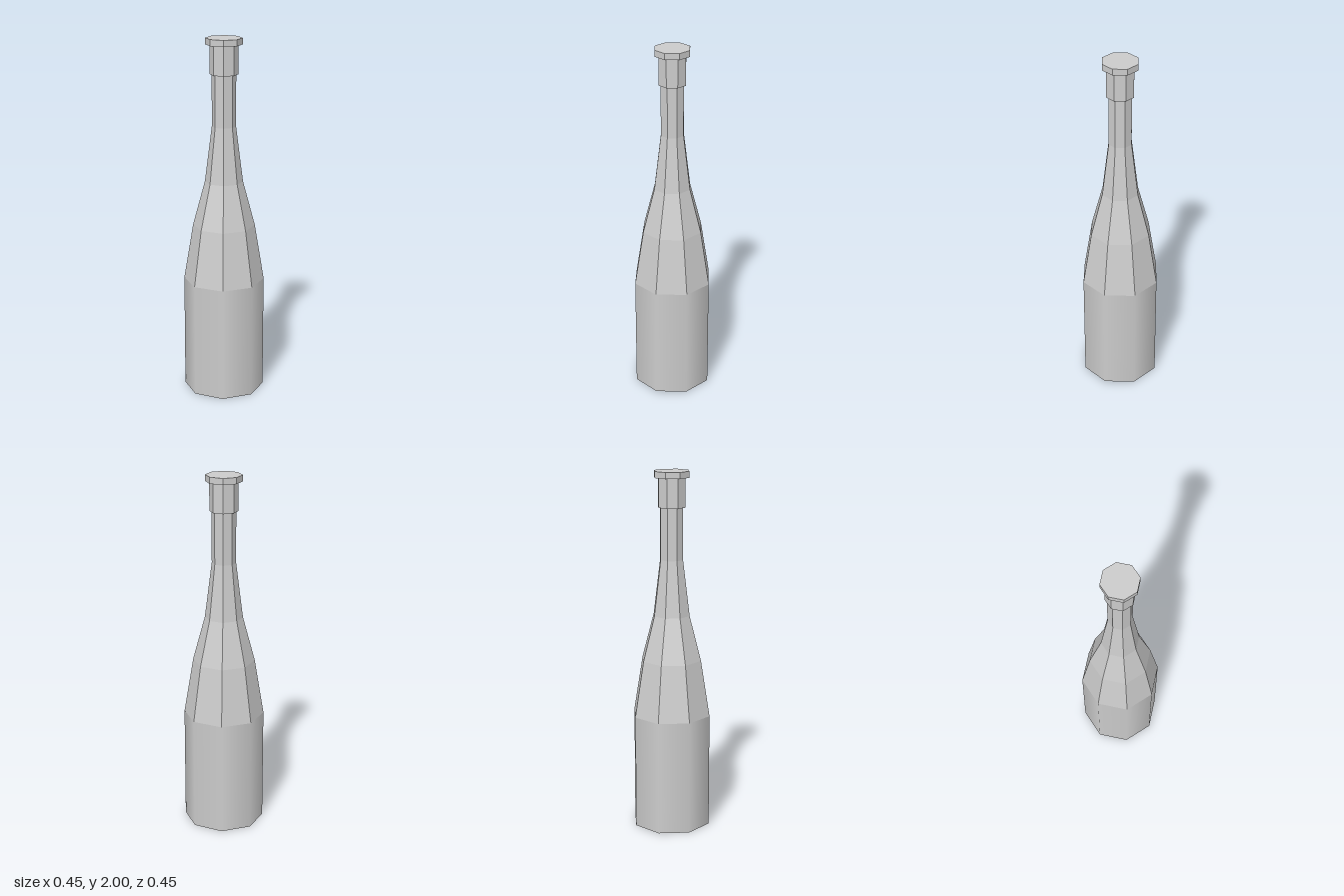
import * as THREE from 'three';

const SIDES = 8;

export function createModel() {
  const bottle = new THREE.Group();
  bottle.name = 'bottle';
  const smooth = new THREE.MeshStandardMaterial({ color: 0xcccccc });
  const faceted = new THREE.MeshStandardMaterial({ color: 0xcccccc, flatShading: true });

  const add = (name, geometry, material) => {
    const mesh = new THREE.Mesh(geometry, material);
    mesh.name = name;
    bottle.add(mesh);
  };
  // Closed octagonal prism between two heights
  const prism = (radius, bottom, top) =>
    new THREE.CylinderGeometry(radius, radius, top - bottom, SIDES, 1)
      .translate(0, (bottom + top) / 2, 0);

  // Lower body: octagonal, with softly shaded walls and a flat base
  add('body', prism(0.224, 0, 0.645), smooth);

  // Tapering shoulder running up into the straight neck
  const profile = [[0.224, 0.645], [0.172, 0.96], [0.105, 1.21], [0.066, 1.52], [0.066, 1.81]]
    .map(([r, y]) => new THREE.Vector2(r, y));
  add('shoulderAndNeck', new THREE.LatheGeometry(profile, SIDES), faceted);

  // Collar and the wider cap on top
  add('collar', prism(0.078, 1.805, 1.965), faceted);
  add('cap', prism(0.1, 1.965, 2), faceted);

  return bottle;
}
